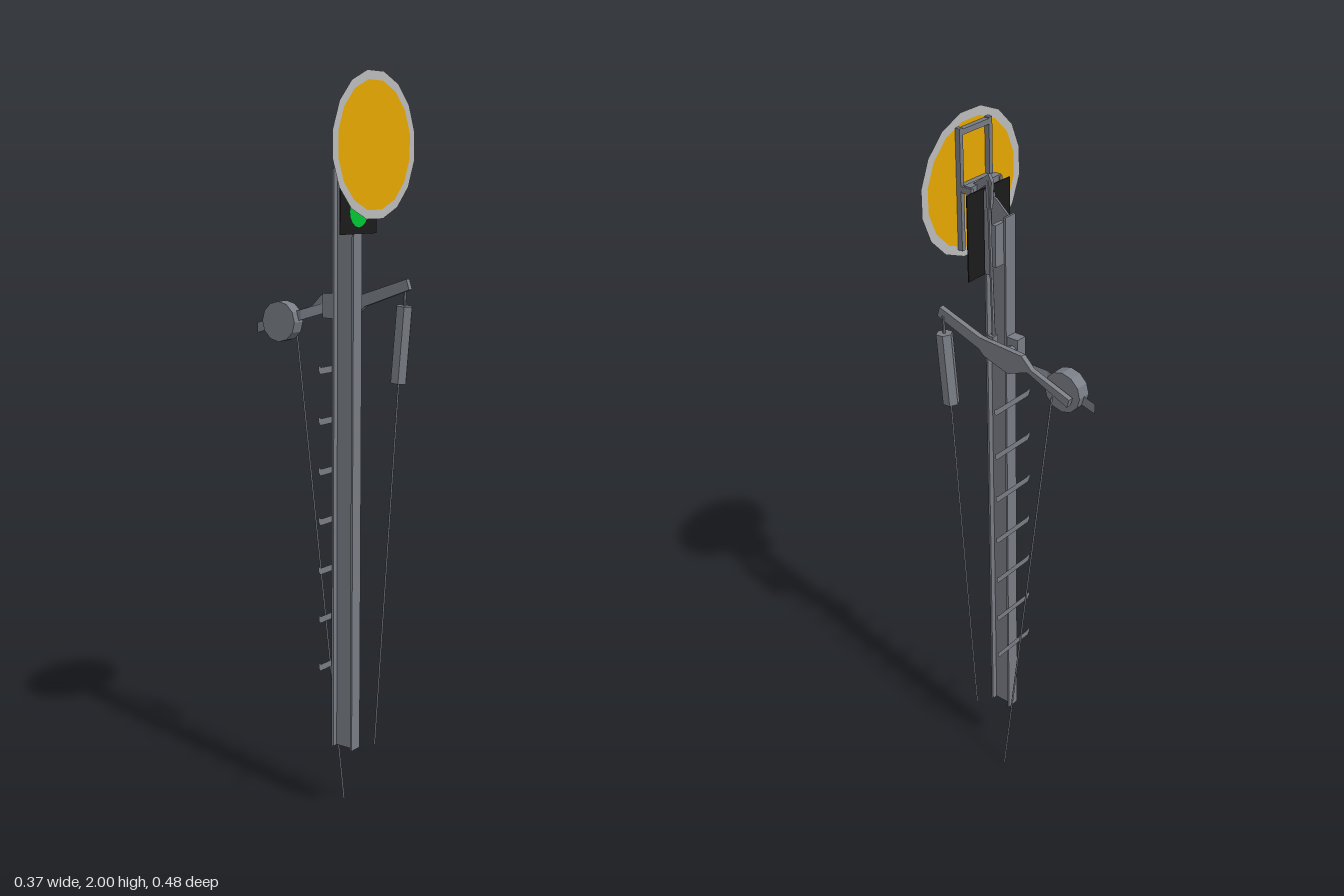
import * as THREE from 'three';

const mat = (name, color, side = THREE.FrontSide) => {
  const m = new THREE.MeshStandardMaterial({ color, side });
  m.name = name;
  return m;
};

export function createModel() {
  const root = new THREE.Group();
  root.name = 'distantSignal';
  const steel = mat('steel grey', 0x787c84, THREE.DoubleSide);
  const rimGrey = mat('rim light grey', 0xbcbcbc, THREE.DoubleSide);
  const yellow = mat('signal yellow', 0xe6a800, THREE.DoubleSide);
  const black = mat('black', 0x1b1b1b);
  const green = mat('lamp green', 0x00c832, THREE.DoubleSide);

  const add = (name, geo, material = steel) => {
    const m = new THREE.Mesh(geo, material);
    m.name = name;
    root.add(m);
    return m;
  };
  // box given by its minimum and maximum corners
  const box = (name, a, b, material = steel) => {
    const g = new THREE.BoxGeometry(b[0] - a[0], b[1] - a[1], b[2] - a[2]);
    g.translate((a[0] + b[0]) / 2, (a[1] + b[1]) / 2, (a[2] + b[2]) / 2);
    return add(name, g, material);
  };
  // straight flat-sided rod between two points
  const rod = (name, a, b, r, sides = 6) => {
    const p = new THREE.Vector3(...a), q = new THREE.Vector3(...b);
    const d = q.clone().sub(p);
    const g = new THREE.CylinderGeometry(r, r, d.length(), sides).toNonIndexed();
    g.computeVertexNormals();
    const m = add(name, g);
    m.position.copy(p).add(q).multiplyScalar(0.5);
    m.quaternion.setFromUnitVectors(new THREE.Vector3(0, 1, 0), d.normalize());
    return m;
  };
  const shapeOf = pts => new THREE.Shape(pts.map(p => new THREE.Vector2(...p)));
  // side profile in (z, y), extruded from x0 to x1
  const sidePlate = (name, pts, x0, x1) => {
    const g = new THREE.ExtrudeGeometry(shapeOf(pts), { depth: x1 - x0, bevelEnabled: false });
    g.rotateY(-Math.PI / 2).translate(x1, 0, 0);
    return add(name, g);
  };

  // I-beam mast with a sloping top
  box('mastFrontFlange', [-0.019, 0.19, 0.104], [0.019, 1.8, 0.11]);
  box('mastRearFlange', [-0.019, 0.19, 0.042], [0.019, 1.762, 0.048]);
  sidePlate('mastWeb', [[0.045, 0.19], [0.105, 0.19], [0.105, 1.8], [0.085, 1.795], [0.045, 1.76]], -0.003, 0.003);

  // climbing rungs with upturned ends
  const rung = new THREE.ShapeGeometry(shapeOf([
    [-0.073, 0.014], [-0.073, 0], [-0.066, -0.01], [0.066, -0.01],
    [0.073, -0.003], [0.073, 0.012], [0.065, 0.008], [-0.062, 0.008]]));
  for (let i = 0; i < 7; i++) add('rung' + (i + 1), rung).position.set(0, 0.43 + i * 0.1355, 0.038);

  // black screen with lamp
  box('lampScreen', [-0.081, 1.595, 0.109], [0.081, 1.82, 0.112], black);
  add('lamp', new THREE.CircleGeometry(0.04, 16), green).position.set(0, 1.652, 0.1135);

  // signal disc and rim, sharing one polygonal edge
  const SIDES = 16, TURN = Math.PI / SIDES, INNER = 0.163;
  add('disc', new THREE.CircleGeometry(INNER, SIDES, TURN), yellow).position.set(0, 1.817, 0.162);
  add('discRim', new THREE.RingGeometry(INNER, 0.1865, SIDES, 1, TURN), rimGrey).position.set(0, 1.817, 0.162);

  // frame behind the disc
  for (const s of [-1, 1]) {
    const x = s * 0.054;
    box('frameUpright', [x - 0.006, 1.66, 0.146], [x + 0.006, 1.97, 0.16]);
    box('hingeArm', [x - 0.005, 1.812, 0.115], [x + 0.005, 1.828, 0.148]);
  }
  for (const y of [1.96, 1.82]) box('frameCrossbar', [-0.06, y - 0.007, 0.146], [0.06, y + 0.007, 0.16]);
  box('hingeShaft', [-0.058, 1.812, 0.117], [0.058, 1.832, 0.138]);

  // pivot bracket and tilting lever
  box('pivotBracket', [0.015, 1.64, 0.048], [0.05, 1.75, 0.06]);
  box('pivotPost', [0.015, 1.6, 0.088], [0.026, 1.82, 0.104]);
  sidePlate('tiltLever', [[0.072, 1.85], [0.082, 1.867], [0.13, 1.832], [0.15, 1.795], [0.14, 1.785],
    [0.118, 1.815], [0.09, 1.838], [0.09, 1.78], [0.076, 1.78]], 0.024, 0.034);
  rod('tiltRod', [0.035, 1.43, 0.07], [0.031, 1.85, 0.084], 0.005);

  // crank mounting behind the mast
  box('crankMount', [-0.016, 1.375, 0.008], [0.016, 1.44, 0.042]);
  rod('crankShaft', [0.016, 1.405, 0.025], [0.047, 1.405, 0.025], 0.016, 8);
  box('tiltRodPin', [0.028, 1.42, 0.062], [0.047, 1.445, 0.08]);

  // main crank arm
  sidePlate('crankArm', [[0.239, 1.455], [0.1, 1.405], [0.085, 1.39], [0.005, 1.365], [-0.058, 1.39],
    [-0.184, 1.335], [-0.19, 1.358], [-0.07, 1.4], [-0.04, 1.43], [0.096, 1.438], [0.23, 1.482]], 0.045, 0.06);

  // cranked strip carrying the counterweight
  const strip = [[0.046, 1.395, -0.03], [0.018, 1.375, -0.09], [0.018, 1.332, -0.239]];
  const pos = [], index = [];
  strip.forEach(([x, y, z], i) => {
    pos.push(x, y - 0.014, z, x, y + 0.014, z);
    if (i) index.push(2 * i - 2, 2 * i, 2 * i - 1, 2 * i, 2 * i + 1, 2 * i - 1);
  });
  let g = new THREE.BufferGeometry();
  g.setAttribute('position', new THREE.Float32BufferAttribute(pos, 3));
  g.setIndex(index);
  g = g.toNonIndexed();
  g.computeVertexNormals();
  add('weightStrip', g);
  rod('counterweight', [-0.002, 1.355, -0.15], [0.036, 1.355, -0.15], 0.055, 12);

  // wire tensioner and pull wires
  rod('tensionerLink', [0.059, 1.46, 0.219], [0.059, 1.41, 0.217], 0.004);
  rod('tensioner', [0.059, 1.412, 0.217], [0.059, 1.21, 0.2], 0.023, 6);
  rod('frontWire', [0.06, 1.21, 0.2], [0.06, 0.19, 0.132], 0.003, 4);
  rod('rearWire', [0.061, 1.35, -0.138], [0.061, 0.001, 0.028], 0.003, 4);

  return root;
}
